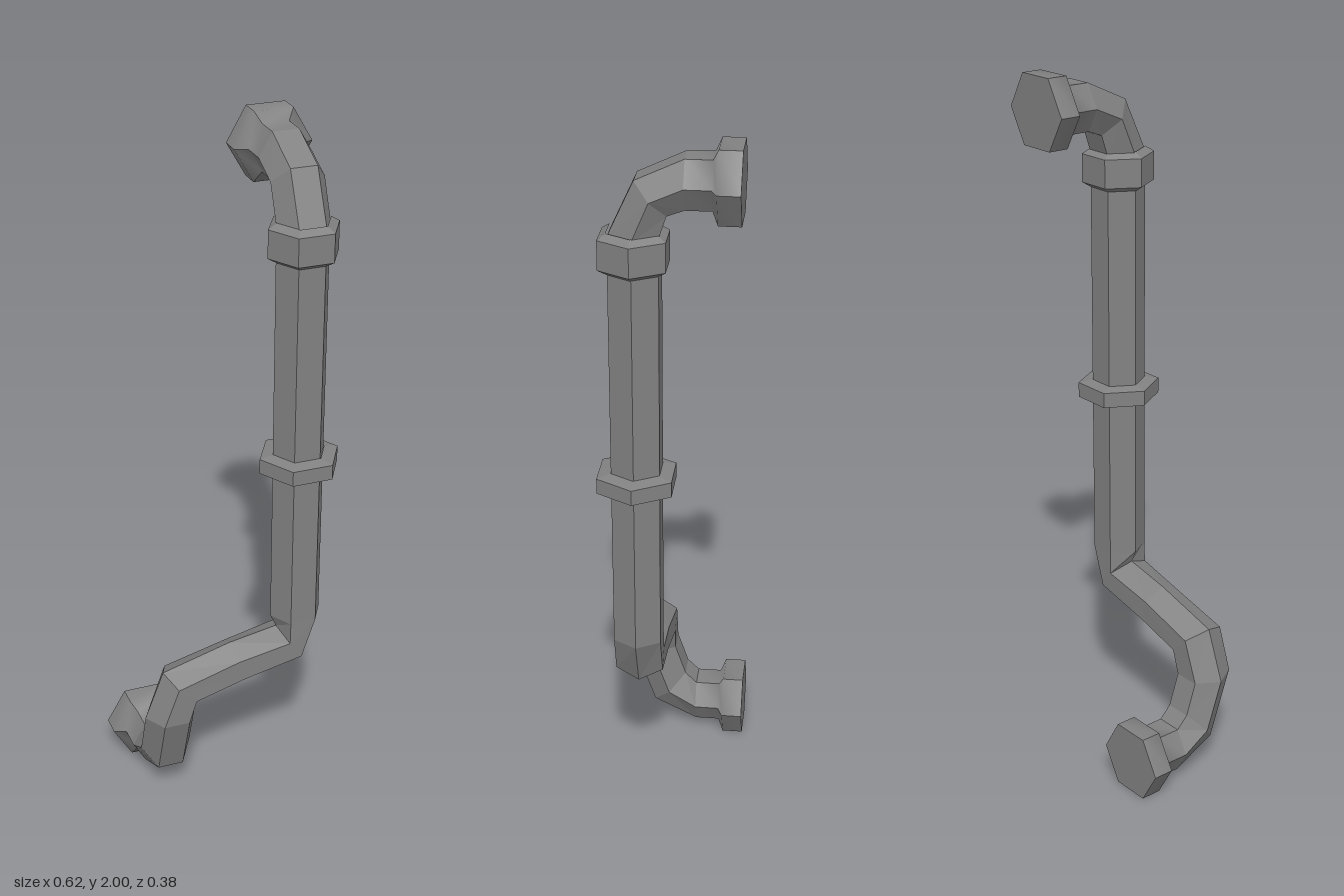
import * as THREE from 'three';

const material = new THREE.MeshStandardMaterial({ color: 0x828282 });
const SIDES = 6;
const FLAT = Math.sin(Math.PI / 3); // apothem of a hexagon of radius 1

// Hexagonal ring: centre c, vector u to a corner, vector v to the middle of a flat
const ring = (c, u, v) => ({ c: new THREE.Vector3(...c), u: new THREE.Vector3(...u), v: new THREE.Vector3(...v) });
const ringUp = (x, y, z, r) => ring([x, y, z], [r, 0, 0], [0, 0, -r * FLAT]);

const corner = ({ c, u, v }, j) => {
  const a = (j / SIDES) * Math.PI * 2;
  return c.clone().addScaledVector(u, Math.cos(a)).addScaledVector(v, Math.sin(a) / FLAT);
};

// Skin a list of rings; each side is its own strip, so the corners stay sharp.
// smooth blends the shading along the strips, capStart closes the first ring.
function loft(name, rings, { smooth = false, capStart = false } = {}) {
  const pos = [], idx = [];
  for (let j = 0; j < SIDES; j++) {
    rings.forEach((r, i) => {
      const n = pos.length / 3;
      pos.push(...corner(r, j), ...corner(r, j + 1));
      if (i < rings.length - 1) idx.push(n, n + 1, n + 3, n, n + 3, n + 2);
    });
  }
  if (capStart) {
    const n = pos.length / 3;
    for (let j = 0; j < SIDES; j++) pos.push(...corner(rings[0], j));
    for (let j = 1; j < SIDES - 1; j++) idx.push(n, n + j + 1, n + j);
  }
  let geometry = new THREE.BufferGeometry();
  geometry.setAttribute('position', new THREE.Float32BufferAttribute(pos, 3));
  geometry.setIndex(idx);
  if (!smooth) geometry = geometry.toNonIndexed();
  geometry.computeVertexNormals();
  const mesh = new THREE.Mesh(geometry, material);
  mesh.name = name;
  return mesh;
}

const R = 0.076, H = 0.067;      // pipe radius to a corner and to a flat
const X_LOW = -0.2, X_UP = 0.188, Z = 0.086;
const Y_LOW = 0.097, Y_UP = 1.903;

// Wall flange: wide hexagon narrowing softly into the pipe stub
function flange(name, x, y) {
  const steps = [[-0.19, 0.112], [-0.13, 0.112], [-0.115, R], [-0.045, R]];
  const rings = steps.map(([z, r]) => ring([x, y, z], [r, 0, 0], [0, r * FLAT, 0]));
  return loft(name, rings, { smooth: true, capStart: true });
}

// Collar around the upright, sloping back to the pipe at both rims
function collar(name, x, z, y0, y1, r, slope) {
  return loft(name, [
    ringUp(x, y0, z, R), ringUp(x, y0 + slope, z, r),
    ringUp(x, y1 - slope, z, r), ringUp(x, y1, z, R),
  ]);
}

export function createModel() {
  const group = new THREE.Group();
  group.name = 'drainPipe';

  // Pipe from the lower flange, through the sideways offset, to the upper flange
  group.add(loft('pipe', [
    // lower elbow
    ring([X_LOW, Y_LOW, -0.045], [R, 0, 0], [0, R * FLAT, 0]),
    ring([X_LOW, 0.146, 0.036], [R, 0, 0], [0, 0.051, -0.047]),
    ringUp(X_LOW, 0.29, Z, R),
    // sideways offset
    ring([-0.167, 0.386, Z], [0.053, -0.051, 0], [0, 0, -H]),
    ring([0, 0.43, 0.085], [0.015, -0.064, 0], [0, 0, -0.0625]),
    ring([0.167, 0.468, Z], [0.037, -0.053, 0], [0, 0, -H]),
    // upright
    ringUp(X_UP, 0.56, Z, R),
    ringUp(X_UP, 1.76, Z, R),
    // upper elbow
    ring([X_UP, 1.865, 0.041], [R, 0, 0], [0, -0.045, -0.041]),
    ring([X_UP, Y_UP, -0.045], [R, 0, 0], [0, -R * FLAT, 0]),
  ]));

  group.add(flange('lowerFlange', X_LOW, Y_LOW));
  group.add(flange('upperFlange', X_UP, Y_UP));
  group.add(collar('upperCollar', 0.189, 0.088, 1.66, 1.77, 0.101, 0.015));
  group.add(collar('middleCollar', 0.19, 0.087, 1.032, 1.092, 0.117, 0.008));
  return group;
}
